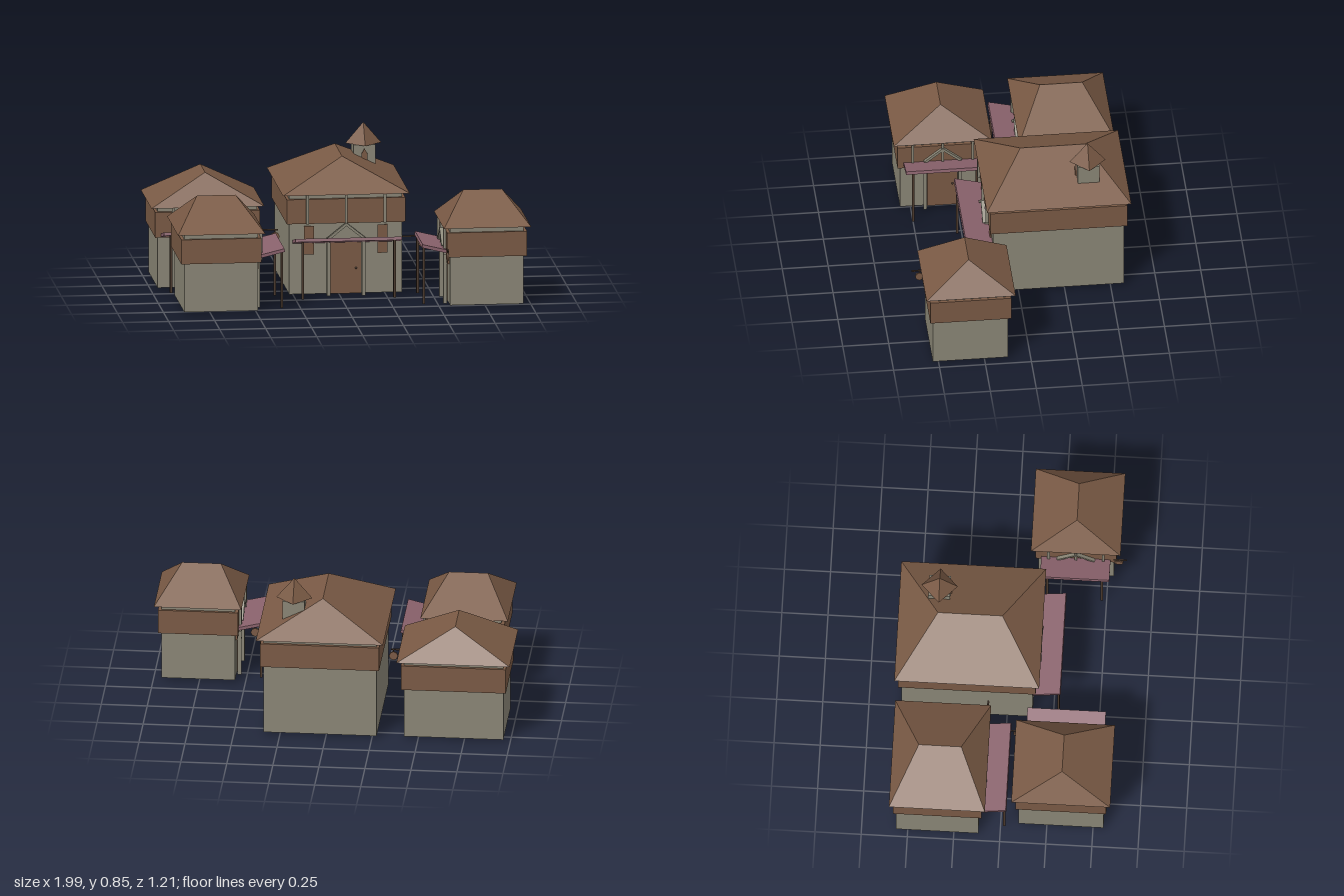
import * as THREE from 'three';

const mat = (name, color) => {
  const m = new THREE.MeshStandardMaterial({ color });
  m.name = name;
  return m;
};

export function createModel() {
  const stone = mat('stone', 0x8a8676);
  const timber = mat('timber', 0x7a5a45);
  const darkWood = mat('darkWood', 0x4a382c);
  const cloth = mat('awningCloth', 0x8a626c);

  const add = (parent, name, geo, material, x = 0, y = 0, z = 0) => {
    const m = new THREE.Mesh(geo, material);
    m.name = name;
    m.position.set(x, y, z);
    parent.add(m);
    return m;
  };
  // Box given by its centre in x and z and its bottom and top heights
  const box = (parent, name, material, w, d, y0, y1, x = 0, z = 0) =>
    add(parent, name, new THREE.BoxGeometry(w, y1 - y0, d), material, x, (y0 + y1) / 2, z);

  // Hipped roof with its ridge along z
  const hipRoof = (w, d, y0, y1, ridge) => {
    const a = w / 2, b = d / 2;
    const p = [[-a, y0, b], [a, y0, b], [a, y0, -b], [-a, y0, -b], [0, y1, ridge], [0, y1, -ridge]];
    const tris = [0, 1, 4, 1, 2, 5, 1, 5, 4, 2, 3, 5, 3, 0, 4, 3, 4, 5, 0, 3, 2, 0, 2, 1];
    const g = new THREE.BufferGeometry();
    g.setAttribute('position', new THREE.Float32BufferAttribute(tris.flatMap(i => p[i]), 3));
    g.computeVertexNormals();
    return g;
  };

  // A house whose facade faces its own +z; w and d are the roof's outline
  const house = ({ name, x, z, turn, w, d, eave, top, ridge, band, sign, reach }) => {
    const g = new THREE.Group();
    g.name = name;
    g.position.set(x, 0, z);
    g.rotation.y = turn;
    const front = d / 2;

    box(g, 'walls', stone, w - 0.075, d - 0.075, 0.01, eave);
    box(g, 'upperBand', timber, w - 0.045, d - 0.04, band[0], band[1]);
    add(g, 'roof', hipRoof(w, d, eave, top, ridge), timber);
    for (const s of [-1, 0, 1])
      box(g, 'facadePost', stone, 0.014, 0.014, band[0], eave, s * w * 0.305, front - 0.013);

    // Door with columns and a pair of sloping beams above
    box(g, 'door', timber, 0.165, 0.008, 0.01, 0.31, 0, front - 0.034);
    add(g, 'doorKnob', new THREE.SphereGeometry(0.006, 8, 6), darkWood, 0.055, 0.15, front - 0.028);
    for (const s of [-1, 1]) {
      box(g, 'doorColumn', stone, 0.018, 0.02, 0, 0.32, s * 0.095, front - 0.022);
      const beam = add(g, 'doorBeam', new THREE.BoxGeometry(0.13, 0.014, 0.02), stone,
        s * 0.048, 0.357, front - 0.012);
      beam.rotation.z = -s * 0.68;
      box(g, 'window', timber, 0.055, 0.012, 0.23, 0.385, s * w * 0.29, front - 0.034);
    }

    // Awning rising outwards on two posts
    const awning = add(g, 'awning', new THREE.BoxGeometry(w - 0.11, 0.018, 0.16), cloth, 0, 0.317, front + 0.034);
    awning.rotation.x = -0.24;
    for (const s of [-1, 1])
      box(g, 'awningPost', darkWood, 0.013, 0.013, 0.01, 0.325, s * (w / 2 - 0.095), front + 0.1);

    // Hanging sign on a bracket at the corner
    const x0 = w / 2 - 0.04, x1 = w / 2 + reach;
    box(g, 'signBracket', darkWood, x1 - x0, 0.007, 0.317, 0.324, (x0 + x1) / 2, front - 0.02);
    const disc = add(g, 'hangingSign', new THREE.CylinderGeometry(0.024, 0.024, 0.01, 8), timber,
      w / 2 + sign, 0.283, front - 0.02);
    disc.rotation.x = Math.PI / 2;
    box(g, 'signHook', darkWood, 0.004, 0.004, 0.3, 0.32, w / 2 + sign, front - 0.02);
    return g;
  };

  const model = new THREE.Group();
  model.name = 'village';
  const q = Math.PI / 2;
  const hall = house({ name: 'mainHall', x: 0.033, z: -0.217, turn: 0, w: 0.69, d: 0.785,
    eave: 0.56, top: 0.73, ridge: 0.175, band: [0.4, 0.535], sign: 0.072, reach: 0.085 });
  model.add(hall,
    house({ name: 'backHouse', x: -0.692, z: -0.34, turn: 0, w: 0.615, d: 0.52,
      eave: 0.455, top: 0.62, ridge: 0.115, band: [0.29, 0.43], sign: 0.06, reach: 0.075 }),
    house({ name: 'rightHouse', x: -0.693, z: 0.327, turn: q, w: 0.535, d: 0.475,
      eave: 0.44, top: 0.605, ridge: 0.105, band: [0.277, 0.412], sign: -0.01, reach: 0.032 }),
    house({ name: 'leftHouse', x: 0.757, z: 0.327, turn: -q, w: 0.485, d: 0.475,
      eave: 0.44, top: 0.605, ridge: 0.105, band: [0.277, 0.412], sign: -0.01, reach: 0.035 }));

  // Small turret on the hall's roof
  const turret = new THREE.Group();
  turret.name = 'turret';
  turret.position.set(0.188, 0, -0.391);
  box(turret, 'turretWalls', stone, 0.118, 0.118, 0.58, 0.73);
  add(turret, 'turretRoof', new THREE.ConeGeometry(0.098, 0.115, 4, 1).toNonIndexed(), timber, 0, 0.7875, 0)
    .geometry.computeVertexNormals();
  const arch = new THREE.Shape();
  arch.moveTo(-0.016, 0);
  arch.lineTo(0.016, 0);
  arch.lineTo(0.016, 0.04);
  arch.lineTo(0, 0.068);
  arch.lineTo(-0.016, 0.04);
  add(turret, 'turretWindow', new THREE.ExtrudeGeometry(arch, { depth: 0.009, bevelEnabled: false }),
    timber, 0, 0.642, 0.059);
  model.add(turret);
  return model;
}
